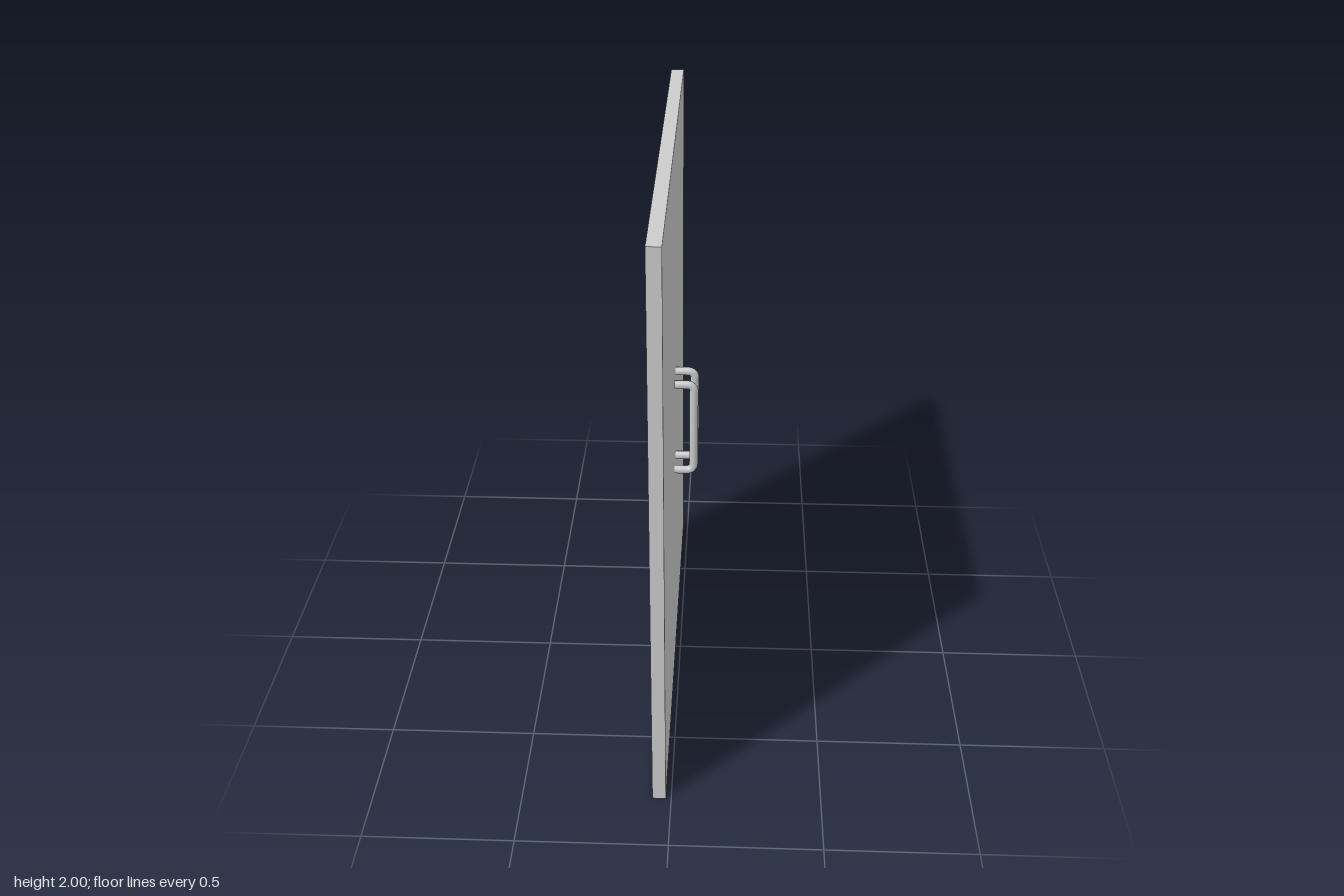
import * as THREE from 'three';

const material = new THREE.MeshStandardMaterial({ color: 0xcccccc, side: THREE.DoubleSide });

// Pull handle: two legs and a grip joined by rounded bends, swept as one tube
function createHandle(z) {
  const root = -0.03, grip = 0.048, bottom = 0.833, top = 1.172, bend = 0.025;
  const v = (x, y) => new THREE.Vector3(x, y, 0);
  const path = new THREE.CurvePath();
  path.add(new THREE.LineCurve3(v(root, bottom), v(grip - bend, bottom)));
  path.add(new THREE.QuadraticBezierCurve3(v(grip - bend, bottom), v(grip, bottom), v(grip, bottom + bend)));
  path.add(new THREE.LineCurve3(v(grip, bottom + bend), v(grip, top - bend)));
  path.add(new THREE.QuadraticBezierCurve3(v(grip, top - bend), v(grip, top), v(grip - bend, top)));
  path.add(new THREE.LineCurve3(v(grip - bend, top), v(root, top)));
  const handle = new THREE.Mesh(new THREE.TubeGeometry(path, 96, 0.015, 8, false), material);
  handle.position.z = z;
  return handle;
}

export function createModel() {
  const model = new THREE.Group();
  model.name = 'door';

  // Flat door panel
  const panel = new THREE.Mesh(new THREE.BoxGeometry(0.045, 2, 1.59), material);
  panel.name = 'doorPanel';
  panel.position.set(-0.0405, 1, 0);
  model.add(panel);

  // Pair of handles either side of the centre line
  for (const [name, z] of [['frontHandle', 0.048], ['backHandle', -0.048]]) {
    const handle = createHandle(z);
    handle.name = name;
    model.add(handle);
  }
  return model;
}
